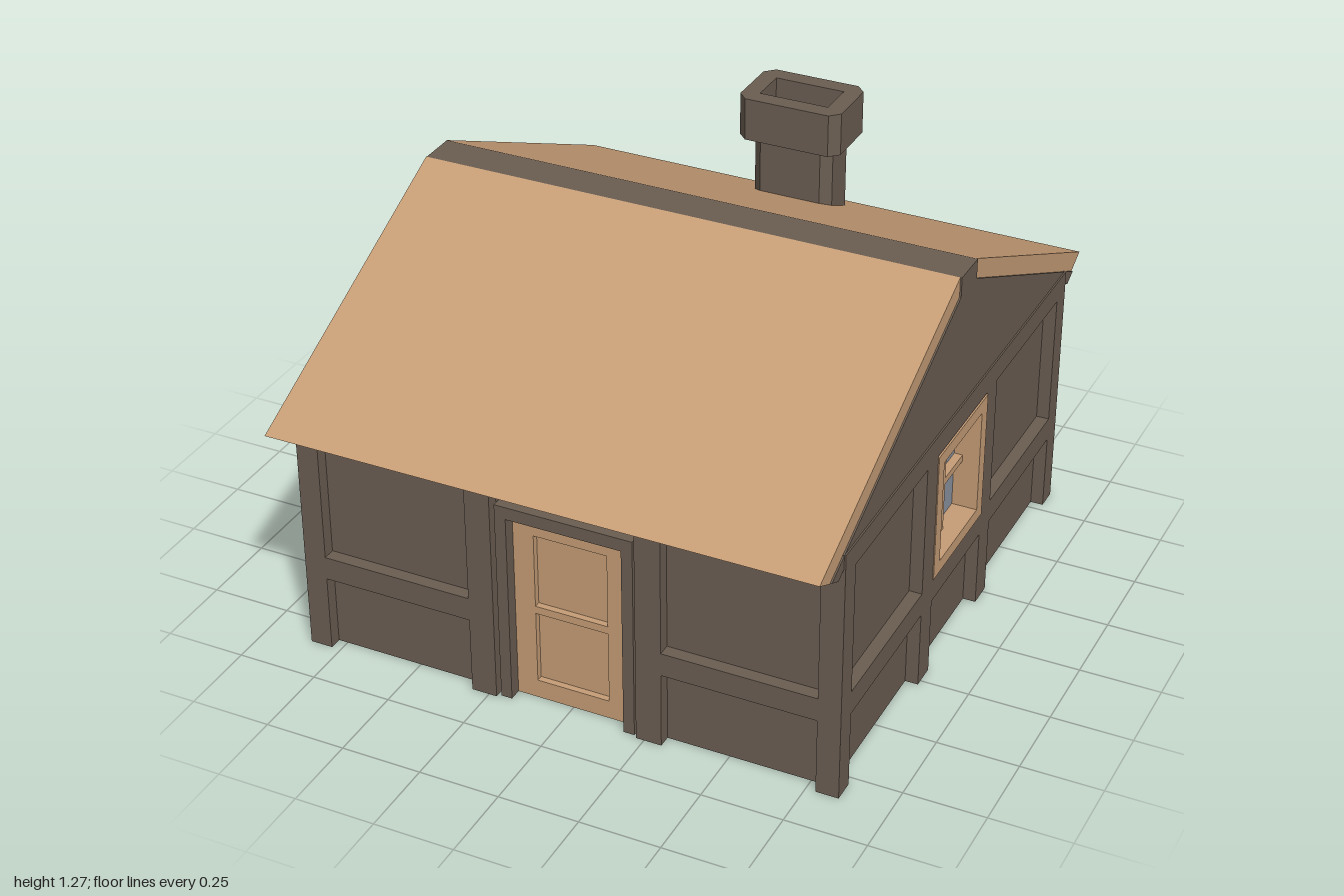
import * as THREE from 'three';

export function createModel() {
  const material = (name, color) => {
    const m = new THREE.MeshStandardMaterial({ color });
    m.name = name;
    return m;
  };
  const brown = material('dark timber', 0x6b5e52);
  const tan = material('light wood', 0xc69d76);
  const glass = material('window glass', 0x8c94a2);

  const house = new THREE.Group();
  house.name = 'cabin';

  const group = (name, parent = house) => {
    const g = new THREE.Group();
    g.name = name;
    parent.add(g);
    return g;
  };
  const mesh = (parent, name, geometry, mat) => {
    const m = new THREE.Mesh(geometry, mat);
    m.name = name;
    parent.add(m);
    return m;
  };
  // box given by its lower and upper limits on each axis
  const box = (parent, name, mat, x0, x1, y0, y1, z0, z1) => {
    const m = mesh(parent, name, new THREE.BoxGeometry(x1 - x0, y1 - y0, z1 - z0), mat);
    m.position.set((x0 + x1) / 2, (y0 + y1) / 2, (z0 + z1) / 2);
    return m;
  };
  const vectors = (pts) => pts.map(([x, y]) => new THREE.Vector2(x, y));
  const extrude = (pts, depth, hole) => {
    const shape = new THREE.Shape(vectors(pts));
    if (hole) shape.holes.push(new THREE.Path(vectors(hole)));
    return new THREE.ExtrudeGeometry(shape, { depth, bevelEnabled: false });
  };
  const rect = (w, y0, y1) => [[-w, y0], [w, y0], [w, y1], [-w, y1]];
  // plate spanning x, drawn in (z, y)
  const alongX = (parent, name, mat, pts, x0, x1) => {
    const m = mesh(parent, name, extrude(pts.map(([z, y]) => [-z, y]), x1 - x0), mat);
    m.rotation.y = Math.PI / 2;
    m.position.x = x0;
    return m;
  };

  // timber framing shared by every wall, built facing +z
  const framing = (wall, inner) => {
    box(wall, 'topBeam', brown, -0.8, 0.8, 0.74, 0.81, 0.77, 0.85);
    for (const s of [-1, 1]) {
      const span = (a, b) => [Math.min(s * a, s * b), Math.max(s * a, s * b)];
      box(wall, 'middlePost', brown, ...span(inner, inner + 0.08), 0, 0.745, 0.79, 0.85);
      box(wall, 'crossBeam', brown, ...span(inner + 0.07, 0.79), 0.245, 0.32, 0.79, 0.85);
    }
  };

  // front wall and door
  const front = group('frontWall');
  mesh(front, 'wallPanel', extrude([[-0.81, 0], [-0.18, 0], [-0.18, 0.62], [0.18, 0.62],
    [0.18, 0], [0.81, 0], [0.81, 0.79], [-0.81, 0.79]], 0.08), brown).position.z = 0.73;
  framing(front, 0.225);
  const door = group('door', front);
  box(door, 'doorPanel', tan, -0.18, 0.18, 0, 0.62, 0.75, 0.78);
  for (const s of [-1, 1]) {
    box(door, 'doorStile', tan, s * 0.1475 - 0.0325, s * 0.1475 + 0.0325, 0, 0.62, 0.74, 0.8);
    box(door, 'doorJamb', brown, s * 0.1975 - 0.0175, s * 0.1975 + 0.0175, 0, 0.66, 0.79, 0.84);
  }
  for (const [y0, y1] of [[0, 0.06], [0.295, 0.32], [0.56, 0.62]])
    box(door, 'doorRail', tan, -0.115, 0.115, y0, y1, 0.74, 0.8);
  box(door, 'doorLintel', brown, -0.18, 0.18, 0.62, 0.66, 0.79, 0.84);

  // back wall
  const back = group('backWall');
  back.rotation.y = Math.PI;
  mesh(back, 'wallPanel', extrude(rect(0.81, 0, 0.79), 0.08), brown).position.z = 0.73;
  framing(back, 0.225);

  // side walls with windows
  for (const s of [-1, 1]) {
    const side = group(s > 0 ? 'leftWall' : 'rightWall');
    side.rotation.y = s * Math.PI / 2;
    mesh(side, 'wallPanel', extrude(rect(0.73, 0, 0.79), 0.08, rect(0.17, 0.34, 0.71)), brown).position.z = 0.73;
    framing(side, 0.19);
    box(side, 'sillBeam', brown, -0.2, 0.2, 0.245, 0.32, 0.79, 0.85);
    const win = group('window', side);
    mesh(win, 'windowFrame', extrude(rect(0.19, 0.32, 0.735), 0.133, rect(0.147, 0.36, 0.695)), tan).position.z = 0.72;
    box(win, 'windowGlass', glass, -0.15, 0.15, 0.355, 0.7, 0.766, 0.774);
    box(win, 'windowMullion', tan, -0.011, 0.011, 0.36, 0.695, 0.75, 0.8);
    box(win, 'windowCrossbar', tan, -0.147, 0.147, 0.515, 0.537, 0.75, 0.8);
  }

  // corner posts and ceiling
  for (const x of [-0.815, 0.815])
    for (const z of [-0.815, 0.815])
      box(house, 'cornerPost', brown, x - 0.035, x + 0.035, 0, 0.81, z - 0.035, z + 0.035);
  box(house, 'ceiling', brown, -0.74, 0.74, 0.74, 0.79, -0.74, 0.74);

  // roof: gabled core with ridge, and a plank slope on either side
  const half = [[0.93, 0.77], [0.885, 0.748], [0.8, 0.79]];
  const mirror = (pts) => pts.map(([z, y]) => [-z, y]);
  alongX(house, 'gableAndRidge', brown,
    [[0.06, 1.245], [0.06, 1.183], ...half, ...mirror(half).reverse(), [-0.06, 1.183], [-0.06, 1.245]],
    -0.848, 0.845);
  const slope = [[1, 0.803], [0.06, 1.245], [0.06, 1.18], [0.93, 0.767]];
  alongX(house, 'frontRoofSlope', tan, slope, -0.85, 0.84);
  alongX(house, 'backRoofSlope', tan, mirror(slope), -0.85, 0.84);

  // chimney: chamfered shaft, hollow cap and sloping foot
  const chimney = group('chimney');
  const octagon = (w, d, c) => [[-w + c, -d], [w - c, -d], [w, -d + c], [w, d - c],
    [w - c, d], [-w + c, d], [-w, d - c], [-w, -d + c]];
  const upright = (name, pts, hole, y0, y1) => {
    const m = mesh(chimney, name, extrude(pts, y1 - y0, hole), brown);
    m.rotation.x = -Math.PI / 2;
    m.position.set(-0.003, y0, -0.765);
  };
  const flue = [[-0.113, -0.06], [0.113, -0.06], [0.113, 0.06], [-0.113, 0.06]];
  upright('chimneyShaft', octagon(0.13, 0.083, 0.03), null, 0.8, 1.15);
  upright('chimneyCap', octagon(0.168, 0.115, 0.03), flue, 1.135, 1.273);
  box(chimney, 'chimneyBreast', brown, -0.14, 0.14, 0, 0.82, -0.845, -0.75);
  const foot = alongX(chimney, 'chimneyFoot', brown,
    [[-0.8, 0], [-0.8, 0.36], [-0.848, 0.36], [-0.92, 0.08], [-0.92, 0]], -0.16, 0.16);
  // taper the foot toward its top
  const p = foot.geometry.attributes.position;
  for (let i = 0; i < p.count; i++) {
    const k = 1 - 0.15 * p.getY(i) / 0.36;
    p.setZ(i, 0.16 + (p.getZ(i) - 0.16) * k);
  }
  foot.geometry.computeVertexNormals();

  return house;
}
